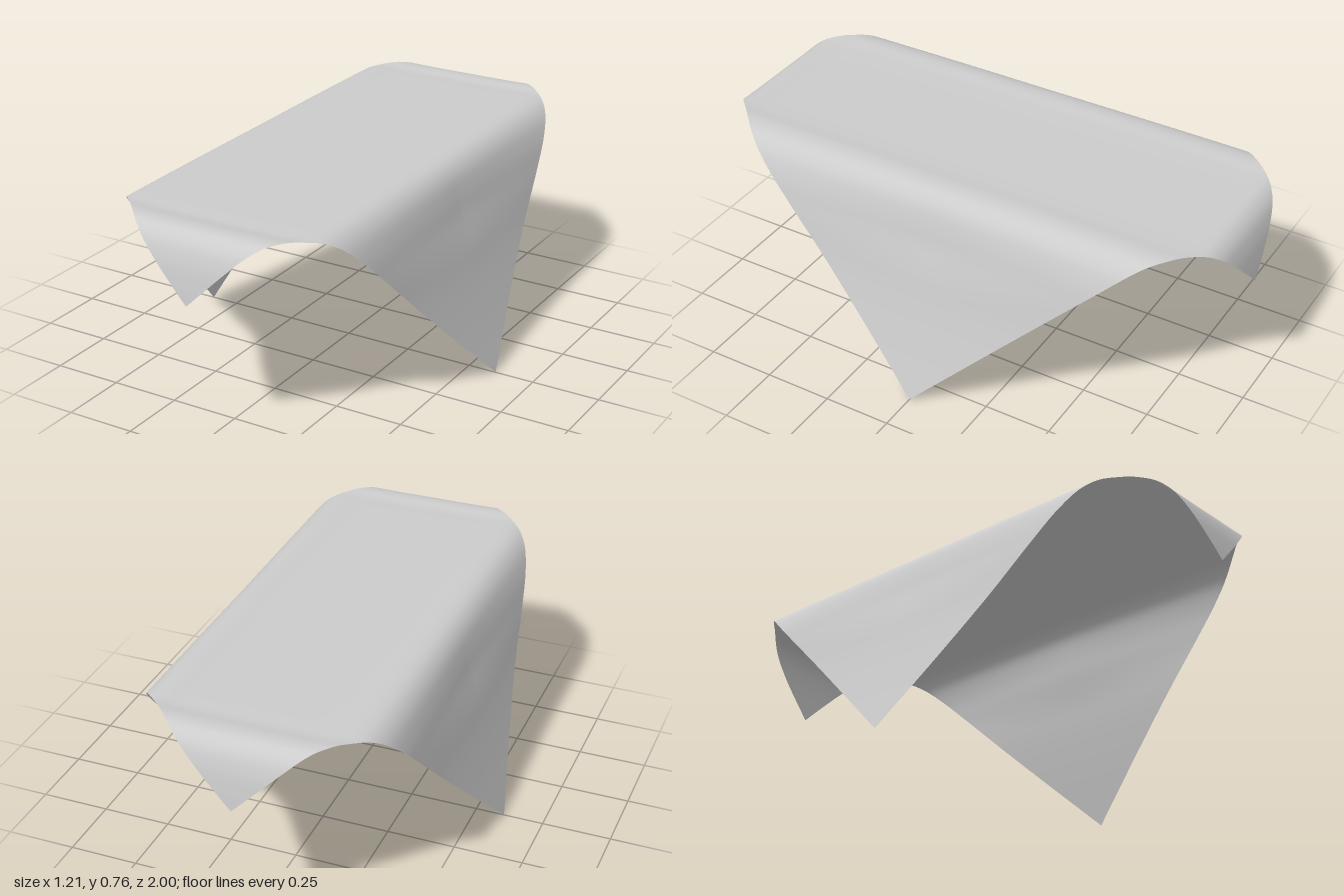
import * as THREE from 'three';

const TOP = 0.75;

// Cross-section of the drape from the middle outwards: [distance, height]
const profile = (pts) => {
  const curve = new THREE.CatmullRomCurve3(pts.map(([d, y]) => new THREE.Vector3(d, y, 0)));
  curve.arcLengthDivisions = 800;
  return curve;
};

const sideProfile = profile([
  [0, TOP], [0.15, TOP], [0.26, 0.752], [0.33, 0.756], [0.38, 0.745], [0.42, 0.71],
  [0.45, 0.645], [0.472, 0.55], [0.5, 0.4], [0.544, 0.22], [0.605, 0],
]);
const endProfile = profile([
  [0, TOP], [0.4, TOP], [0.75, 0.748], [0.82, 0.747], [0.88, 0.752], [0.92, 0.745],
  [0.955, 0.715], [0.978, 0.66], [0.993, 0.58], [1, 0.52],
]);

export function createModel() {
  const group = new THREE.Group();
  group.name = 'drapedCloth';

  // Square sheet turned 45 degrees, each diagonal bent along its own profile
  const geometry = new THREE.PlaneGeometry(1, 1, 120, 120);
  const pos = geometry.attributes.position;
  for (let i = 0; i < pos.count; i++) {
    const u = pos.getX(i) + pos.getY(i);
    const v = pos.getX(i) - pos.getY(i);
    const au = Math.min(1, Math.abs(u));
    const av = Math.min(1, Math.abs(v));
    const side = sideProfile.getPointAt(au);
    const end = endProfile.getPointAt(av);

    // The long folds pull in slightly away from the hem
    const t = THREE.MathUtils.clamp((au - 0.31) / 0.32, 0, 1);
    const inside = au < 1 ? Math.max(0, 1 - av / (1 - au)) : 0;
    const pull = 0.012 * inside * Math.sin(Math.PI * t) ** 2;

    pos.setXYZ(
      i,
      Math.sign(u) * (side.x - pull),
      side.y + end.y - TOP,
      Math.sign(v) * end.x,
    );
  }
  geometry.computeVertexNormals();

  const cloth = new THREE.Mesh(
    geometry,
    new THREE.MeshStandardMaterial({ color: 0xcccccc, side: THREE.DoubleSide }),
  );
  cloth.name = 'cloth';
  group.add(cloth);
  return group;
}
